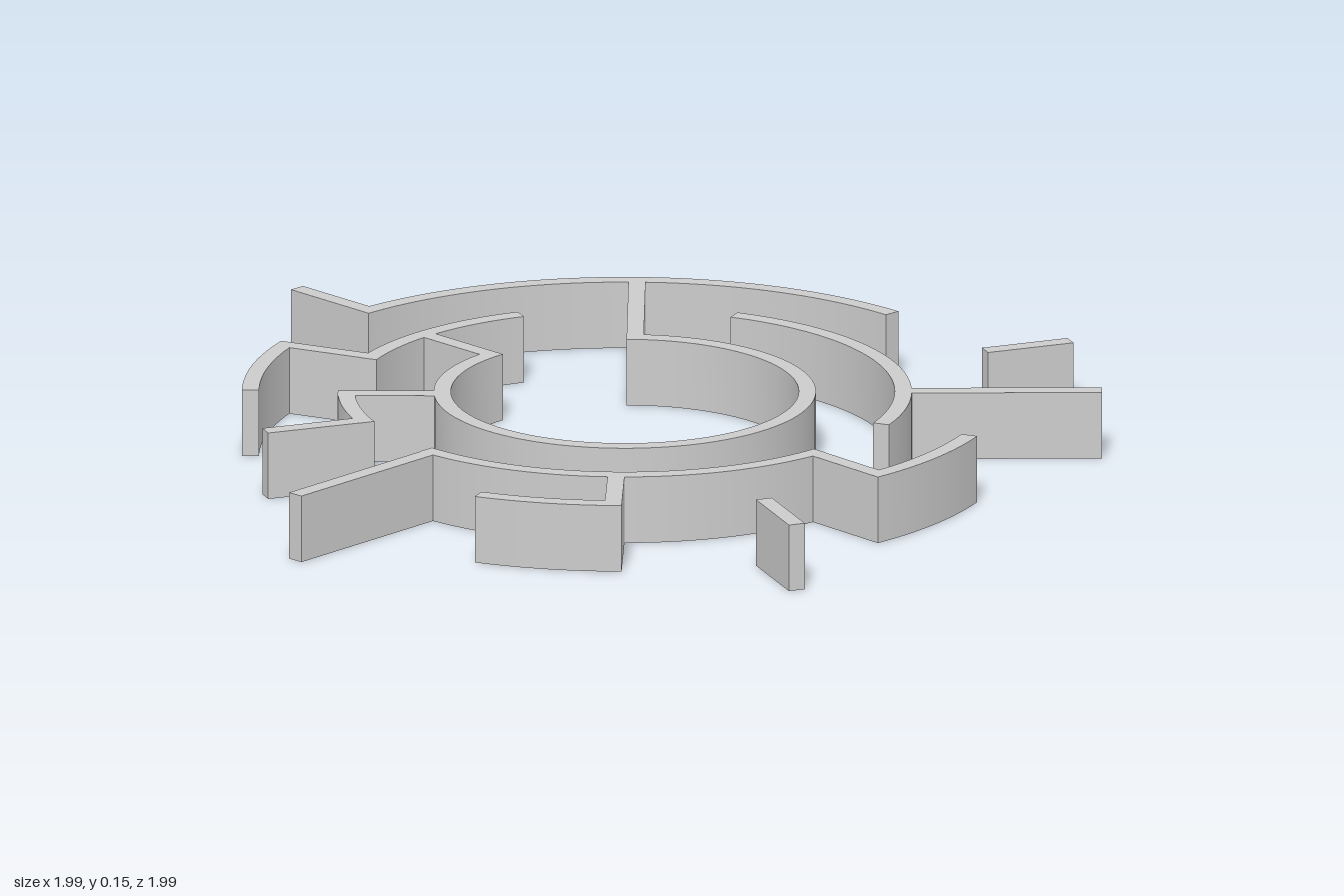
import * as THREE from 'three';
import { toCreasedNormals } from 'three/addons/utils/BufferGeometryUtils.js';

const HEIGHT = 0.15, WALL = 0.037;
const CX = 0.037, CZ = 0.032;              // common centre of the rings
const R1 = 0.396, R2 = 0.604, R3 = 0.812;  // wall centre lines
const R_OUT = 1.035;
const rad = THREE.MathUtils.degToRad;

export function createModel() {
  const model = new THREE.Group();
  model.name = 'circularMaze';
  const material = new THREE.MeshStandardMaterial({ color: 0xcccccc });

  // Extrudes a plan (x, z) upwards into a wall
  function addWall(name, shape) {
    let geo = new THREE.ExtrudeGeometry(shape, { depth: HEIGHT, bevelEnabled: false, curveSegments: 48 });
    geo.rotateX(Math.PI / 2);
    geo.translate(CX, HEIGHT, CZ);
    geo = toCreasedNormals(geo, 0.5);
    const mesh = new THREE.Mesh(geo, material);
    mesh.name = name;
    model.add(mesh);
  }

  // Curved wall between two angles (degrees, from +x towards +z)
  function arcWall(name, r, from, to) {
    const shape = new THREE.Shape();
    shape.absarc(0, 0, r + WALL / 2, rad(from), rad(to), false);
    shape.absarc(0, 0, r - WALL / 2, rad(to), rad(from), true);
    shape.closePath();
    addWall(name, shape);
  }

  // Straight wall along a ray, optionally shifted sideways
  function spokeWall(name, angle, r0, r1, shift = 0) {
    const c = Math.cos(rad(angle)), s = Math.sin(rad(angle));
    const at = (r, o) => new THREE.Vector2(c * r - s * o, s * r + c * o);
    const a = shift - WALL / 2, b = shift + WALL / 2;
    addWall(name, new THREE.Shape([at(r0, a), at(r1, a), at(r1, b), at(r0, b)]));
  }

  // Inner ring
  arcWall('innerRing', R1, -45, 270);

  // Middle ring arcs
  [[-22.5, 67.5], [90, 180], [202.5, 225], [247.5, 292.5]]
    .forEach(([a, b]) => arcWall('middleRingArc', R2, a, b));

  // Outer ring arcs
  [[67.5, 92.5], [135, 157.5], [225, 250.2], [270, 360]]
    .forEach(([a, b]) => arcWall('outerRingArc', R3, a, b));

  // Spokes leaving the inner ring
  const h = WALL / 2;
  spokeWall('innerSpoke', 270, R1 - h, R2, -h);
  spokeWall('innerSpoke', 225, R1, R2 + h, -h);
  spokeWall('longInnerSpoke', -45, R1 - h, R3, h);

  // Spokes between the middle and outer rings
  [[91.8, R2 - h, R3 + h], [136.2, R2, R3 + h], [204.3, R2 - h, R3 + h], [249.3, R2 - h, R3 + h]]
    .forEach(([a, r0, r1]) => spokeWall('middleSpoke', a, r0, r1));

  // Spokes reaching the rim
  spokeWall('rimSpoke', 43.9, R2, R_OUT);
  spokeWall('rimSpoke', 178.1, R2 - h, R_OUT);
  spokeWall('rimSpoke', 270, R3 - h, R_OUT, h);

  // Detached rim walls
  [23.5, 113.3].forEach((a) => spokeWall('rimStub', a, R3 + h + 0.006, R_OUT));

  return model;
}
